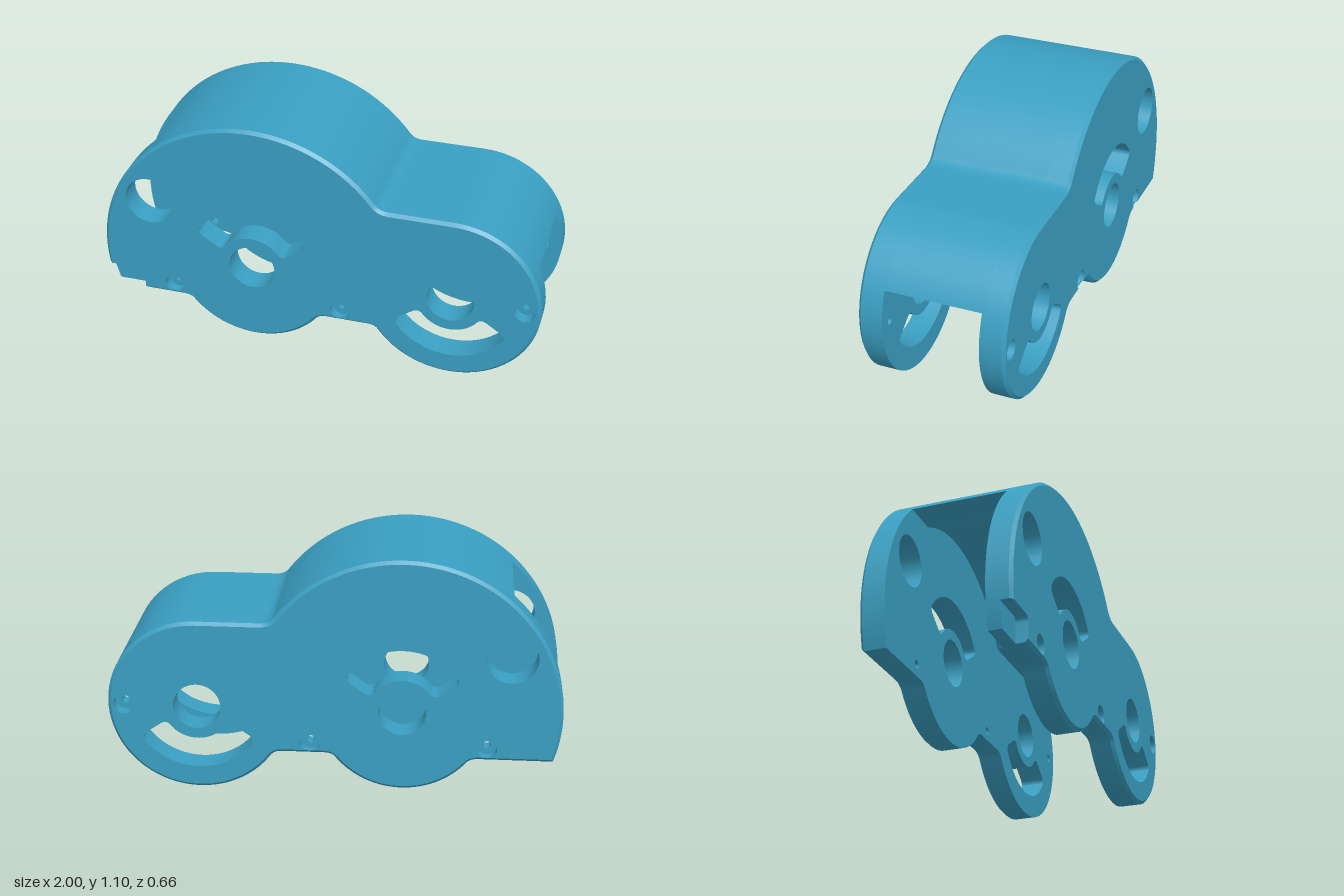
import * as THREE from 'three';
import { toCreasedNormals } from 'three/addons/utils/BufferGeometryUtils.js';

const material = new THREE.MeshStandardMaterial({ color: 0x3a9fc2 });
const BIG = [-0.3, 0.4], SMALL = [0.603, 0.4];      // lobe centres
const INNER = 0.216, OUTER = 0.328, CHAMFER = 0.014, BORE_FLOOR = 0.275;
const SCREWS = [[-0.675, 0.235], [0.105, 0.235], [0.93, 0.4]];
const BORE = 0.045;
const rad = THREE.MathUtils.degToRad;
const deg = THREE.MathUtils.radToDeg;

const polar = ([cx, cy], r, a) => new THREE.Vector2(cx + r * Math.cos(rad(a)), cy + r * Math.sin(rad(a)));
const P = (x, y) => new THREE.Vector2(x, y);

function arc(c, r, a0, a1, n = 32) {
  const pts = [];
  for (let i = 0; i <= n; i++) pts.push(polar(c, r, a0 + (a1 - a0) * i / n));
  return pts;
}
const bend = (a, ctrl, b, n = 6) => new THREE.QuadraticBezierCurve(a, ctrl, b).getPoints(n);

function circle([x, y], r) {
  return new THREE.Path().absarc(x, y, r, 0, Math.PI * 2, true);
}

// Side plate outline, inset by d; optional pocket at the lower corner and screw notches
function outline(d, pocket = false, notched = false) {
  const f1 = 0.183 + d, f2 = 0.19 + d, top = 0.797 - d;
  const R = 0.7 - d, r = 0.397 - d, lobe = 0.372 - d;
  const notch = ([x, y], f) => {
    if (!notched || y - f >= BORE) return [];
    const a = deg(Math.acos((y - f) / BORE));
    return arc([x, y], BORE, 270 - a, -90 + a, 12);
  };
  const endY = pocket ? 0.295 : f1;
  const endAngle = 180 + deg(Math.asin((0.4 - endY) / R));
  const corner = pocket
    ? [P(-0.85, 0.295), ...bend(P(-0.845, 0.295), P(-0.82, 0.295), P(-0.82, 0.27)), P(-0.82, f1)]
    : [];
  return [
    ...corner,
    ...notch(SCREWS[0], f1),
    ...bend(P(-0.64, f1), P(-0.605, f1), polar(BIG, lobe, 219)),
    ...arc(BIG, lobe, 220, 320),
    ...bend(polar(BIG, lobe, 321), P(0.005, f2), P(0.04, f2)),
    ...notch(SCREWS[1], f2),
    ...bend(P(0.23, f2), P(0.267, f2), polar(SMALL, r, 216)),
    ...arc(SMALL, r, 217, 450, 48),
    ...bend(P(0.32, top), P(0.278, top), polar(BIG, R, 37)),
    ...arc(BIG, R, 38, endAngle, 56),
  ];
}

// Curved slot with rounded corners, facing up (turn 0) or down (turn 180)
function slot(c, turn) {
  const r0 = 0.153, r1 = 0.294, at = (r, a) => polar(c, r, a + turn);
  return new THREE.Path([
    ...arc(c, r1, 36 + turn, 144 + turn),
    ...bend(at(r1, 145), at(r1, 149), at(r1 - 0.03, 150)),
    ...bend(at(r0 + 0.03, 152), at(r0, 152), at(r0, 141)),
    ...arc(c, r0, 140 + turn, 40 + turn),
    ...bend(at(r0, 39), at(r0, 28), at(r0 + 0.03, 28)),
    ...bend(at(r1 - 0.03, 30), at(r1, 31), at(r1, 35)),
  ]);
}

function slab(name, points, holes, z0, z1) {
  const shape = new THREE.Shape(points);
  shape.holes = holes;
  const geo = new THREE.ExtrudeGeometry(shape, { depth: z1 - z0, bevelEnabled: false, curveSegments: 40 });
  geo.translate(0, 0, z0);
  const mesh = new THREE.Mesh(toCreasedNormals(geo, rad(30)), material);
  mesh.name = name;
  return mesh;
}

// Sloped band joining two loops of equal length
function band(name, a, b, za, zb) {
  const pos = [];
  a.forEach((p, i) => {
    const j = (i + 1) % a.length, q = a[j], s = b[i], t = b[j];
    pos.push(p.x, p.y, za, q.x, q.y, za, t.x, t.y, zb, p.x, p.y, za, t.x, t.y, zb, s.x, s.y, zb);
  });
  const geo = new THREE.BufferGeometry();
  geo.setAttribute('position', new THREE.Float32BufferAttribute(pos, 3));
  const mesh = new THREE.Mesh(toCreasedNormals(geo, rad(30)), material);
  mesh.name = name;
  return mesh;
}

function sidePlate(name, pocket) {
  const plate = new THREE.Group();
  plate.name = name;
  const openings = () => [
    circle(BIG, 0.105), circle(SMALL, 0.105), circle([-0.77, 0.67], 0.113),
    slot(BIG, 0), slot(SMALL, 180),
  ];
  const screws = (r) => SCREWS.map((s) => circle(s, r));
  const rim = OUTER - CHAMFER;
  plate.add(slab('innerLayer', outline(0), [...openings(), ...screws(0.018)], INNER, BORE_FLOOR));
  plate.add(slab('counterboredLayer', outline(0, pocket), [...openings(), ...screws(BORE)], BORE_FLOOR, rim));
  // the two lower screw bores open through the inset edge of the face
  plate.add(slab('outerFace', outline(CHAMFER, pocket, true),
    [...openings(), circle(SCREWS[2], BORE)], rim, OUTER));
  plate.add(band('chamfer', outline(0, pocket), outline(CHAMFER, pocket), rim, OUTER));
  return plate;
}

// Roof wall between the plates, open at both ends and below
function roofWall() {
  const t = 0.1, R = 0.7, r = 0.397, ri = r - t, Ri = R - t;
  const a = (dy, rr) => deg(Math.asin(dy / rr));
  const endY = 0.519, startY = 0.17;
  return slab('roofWall', [
    ...arc(SMALL, r, a(startY, r), 90),
    ...bend(P(0.32, 0.797), P(0.278, 0.797), polar(BIG, R, 37)),
    ...arc(BIG, R, 38, 180 - a(endY, R), 48),
    ...arc(BIG, Ri, 180 - a(endY, Ri), a(ri, Ri), 40),
    ...arc(SMALL, ri, 90, a(startY, ri)),
  ], [], -INNER, INNER);
}

export function createModel() {
  const model = new THREE.Group();
  model.name = 'gearHousing';
  const back = sidePlate('backPlate', false);
  back.scale.z = -1;
  model.add(sidePlate('frontPlate', true), back, roofWall());
  return model;
}
